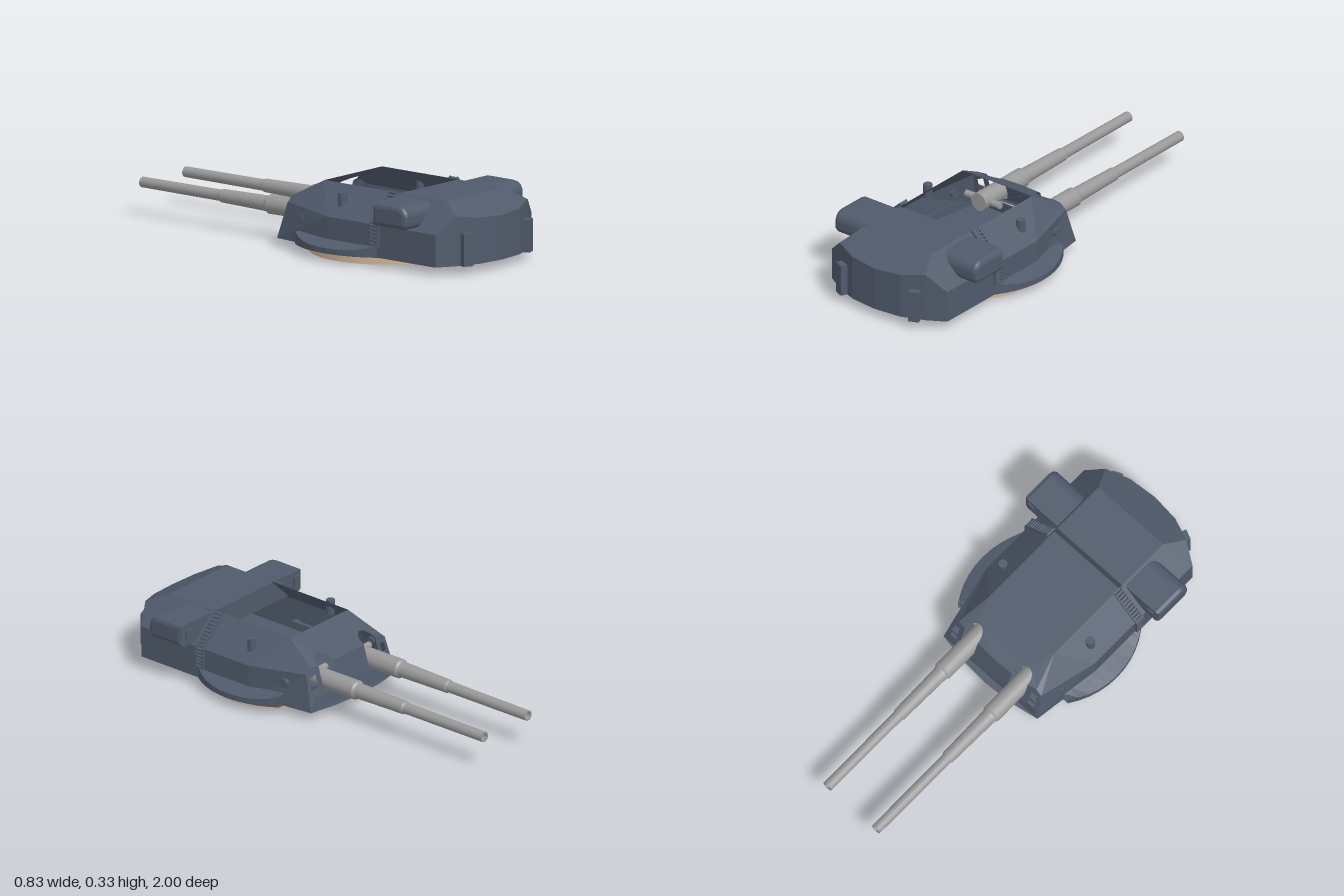
import * as THREE from 'three';

const mat = (name, color, side = THREE.FrontSide) => {
  const m = new THREE.MeshStandardMaterial({ color, side });
  m.name = name;
  return m;
};

export function createModel() {
  const root = new THREE.Group();
  root.name = 'gunTurret';
  const slate = mat('slate armour', 0x505a6b, THREE.DoubleSide);
  const steel = mat('gun steel', 0x999999, THREE.DoubleSide);
  const cream = mat('cream ring', 0xcdb397);
  const black = mat('black underside', 0x050505);

  const add = (name, geo, material, x = 0, y = 0, z = 0, parent = root) => {
    const m = new THREE.Mesh(geo, material);
    m.name = name;
    m.position.set(x, y, z);
    parent.add(m);
    return m;
  };
  // Flat-faced surface from polygons, optionally mirrored across x
  const faces = (name, polys, mirror = false) => {
    const pos = [];
    const fan = (p) => {
      for (let i = 1; i < p.length - 1; i++) pos.push(...p[0], ...p[i], ...p[i + 1]);
    };
    for (const p of polys) {
      fan(p);
      if (mirror) fan(p.map(([x, y, z]) => [-x, y, z]).reverse());
    }
    const g = new THREE.BufferGeometry();
    g.setAttribute('position', new THREE.Float32BufferAttribute(pos, 3));
    g.computeVertexNormals();
    return add(name, g, slate);
  };

  // Base ring
  add('baseRing', new THREE.CylinderGeometry(0.36, 0.36, 0.04, 40, 1, true), cream, 0, 0.02, 0.325);
  add('baseUnderside', new THREE.CircleGeometry(0.36, 40).rotateX(Math.PI / 2), black, 0, 0, 0.325);

  // Raked, slightly bowed front plate
  const frontZ = (x, y) => -0.12 + (y - 0.04) * 0.3 + 0.035 * (x / 0.29) ** 2;
  const F = (x, y) => [x, y, frontZ(x, y)];

  // Side armour
  const lowRear = [0.335, 0.04, 0.89], lowMid = [0.335, 0.04, 0.25];
  const kneeRear = [0.335, 0.19, 0.89], kneeMid = [0.335, 0.19, 0.25];
  const roofRear = [0.2, 0.32, 0.84], roofFront = [0.2, 0.32, 0.12];
  faces('sideArmour', [
    [lowRear, lowMid, kneeMid, kneeRear],
    [lowMid, F(0.29, 0.04), F(0.27, 0.21), kneeMid],
    [kneeRear, kneeMid, roofFront, roofRear],
    [kneeMid, F(0.27, 0.21), F(0.24, 0.235), roofFront],
    [kneeRear, roofRear, [0.25, 0.27, 0.94]],
  ], true);

  // Curved rear wall with its sloped upper plate
  const arc = [[0.335, 0.19, 0.89], [0.25, 0.27, 0.94], [0.14, 0.252, 0.985], [0, 0.245, 1]];
  const rear = [];
  for (let i = 0; i < 3; i++) {
    const a = arc[i], b = arc[i + 1];
    rear.push([[b[0], 0.04, b[2]], [a[0], 0.04, a[2]], a, b]);
  }
  rear.push([[0, 0.32, 0.84], arc[3], arc[2], arc[1], roofRear]);
  faces('rearArmour', rear, true);

  // Rear roof and floor; the middle of the roof is open
  faces('rearRoof', [[[-0.2, 0.32, 0.57], [-0.2, 0.32, 0.84], [0.2, 0.32, 0.84], [0.2, 0.32, 0.57]]]);
  faces('floor', [[
    [0, 0.04, 0.3], F(0, 0.04), F(0.15, 0.04), F(0.29, 0.04), lowMid, lowRear,
    [0.25, 0.04, 0.94], [0.14, 0.04, 0.985], [0, 0.04, 1],
  ]], true);

  // Front plates with gun slots: flat shapes bent into place by a depth rule
  const bend = (name, shape, depth) => {
    const g = new THREE.ShapeGeometry(shape, 8).rotateY(Math.PI);
    const p = g.attributes.position;
    for (let i = 0; i < p.count; i++) p.setZ(i, depth(p.getX(i), p.getY(i)));
    const flat = g.toNonIndexed();
    flat.computeVertexNormals();
    add(name, flat, slate);
  };
  const slot = 0.045, gunX = 0.15, edgeY = 0.235;
  const lower = new THREE.Shape();
  lower.moveTo(-0.29, 0.04);
  for (const x of [-0.15, 0, 0.15, 0.29]) lower.lineTo(x, 0.04);
  lower.lineTo(0.27, 0.21);
  lower.lineTo(0.24, edgeY);
  for (const c of [gunX, -gunX]) {
    lower.lineTo(c + slot, edgeY);
    lower.lineTo(c + slot, 0.15);
    lower.absarc(c, 0.15, slot, 0, Math.PI, true);
    lower.lineTo(c - slot, edgeY);
    if (c > 0) lower.lineTo(0, edgeY);
  }
  lower.lineTo(-0.24, edgeY);
  lower.lineTo(-0.27, 0.21);
  for (const s of [-1, 1]) {
    const h = new THREE.Path();
    h.moveTo(s * 0.222, 0.1);
    h.lineTo(s * 0.258, 0.1);
    h.lineTo(s * 0.252, 0.19);
    h.lineTo(s * 0.222, 0.2);
    lower.holes.push(h);
    add('windowBar', new THREE.BoxGeometry(0.04, 0.018, 0.012), slate, s * 0.24, 0.145, frontZ(0.24, 0.145) + 0.004);
  }
  bend('frontPlate', lower, frontZ);

  const upper = new THREE.Shape();
  upper.moveTo(-0.24, edgeY);
  for (const c of [-gunX, gunX]) {
    upper.lineTo(c - slot, edgeY);
    upper.absellipse(c, edgeY, slot, 0.03, Math.PI, 0, true);
    if (c < 0) upper.lineTo(0, edgeY);
  }
  upper.lineTo(0.24, edgeY);
  upper.lineTo(0.2, 0.32);
  upper.lineTo(-0.2, 0.32);
  bend('frontRoofSlope', upper, (x, y) =>
    THREE.MathUtils.lerp(frontZ(x, edgeY), 0.12, (y - edgeY) / (0.32 - edgeY)));

  // Stepped gun barrels with hollow muzzles
  const profile = [[0, -0.07], [0.043, -0.07], [0.045, 0.24], [0.038, 0.25], [0.036, 0.26], [0.031, 0.525],
    [0.026, 0.535], [0.0245, 1], [0.017, 1], [0.017, 0.9], [0, 0.9]];
  const barrel = [];
  for (let i = 0; i < profile.length - 1; i++) {
    const pts = [profile[i], profile[i + 1]].map(([r, l]) => new THREE.Vector2(r, l));
    barrel.push(new THREE.LatheGeometry(pts, 20).rotateX(-Math.PI / 2));
  }

  // Rangefinder section: rounded on the rear edges
  const beam = new THREE.Shape();
  beam.moveTo(-0.755, 0.225);
  beam.quadraticCurveTo(-0.76, 0.225, -0.76, 0.24);
  beam.lineTo(-0.76, 0.262);
  beam.quadraticCurveTo(-0.755, 0.29, -0.725, 0.29);
  beam.lineTo(-0.6, 0.29);
  beam.lineTo(-0.6, 0.225);
  const beamGeo = new THREE.ExtrudeGeometry(beam, {
    depth: 0.79, bevelSize: 0.02, bevelThickness: 0.02, bevelSegments: 2, curveSegments: 5,
  });
  add('rangefinder', beamGeo.translate(0, 0, -0.395).rotateY(Math.PI / 2), slate);

  for (const s of [-1, 1]) {
    const gun = new THREE.Group();
    gun.name = s > 0 ? 'leftGun' : 'rightGun';
    gun.position.set(s * gunX, 0.154, 0);
    root.add(gun);
    for (const g of barrel) add('barrelSection', g, steel, 0, 0, 0, gun);
    add('trunnion', new THREE.CylinderGeometry(0.016, 0.016, 0.2, 12).rotateZ(Math.PI / 2), steel, 0, 0, 0.035, gun);

    // Rangefinder window, periscope, side cap and rear post
    add('rangefinderWindow', new THREE.BoxGeometry(0.035, 0.055, 0.008), slate, s * 0.37, 0.258, 0.577);
    add('periscope', new THREE.CylinderGeometry(0.021, 0.021, 0.065, 12), slate, s * 0.27, 0.263, 0.285);
    add('sideCap', new THREE.CylinderGeometry(0.02, 0.02, 0.02, 12).rotateZ(Math.PI / 2), slate, s * 0.299, 0.15, 0.065);
    const post = add('rearPost', new THREE.BoxGeometry(0.05, 0.15, 0.05), slate, s * 0.208, 0.115, 0.965);
    post.rotation.y = s * 0.4;

    // Ladder up the side and over the slope
    const ladder = new THREE.Group();
    ladder.name = 'ladder';
    root.add(ladder);
    const path = [[0.342, 0.09], [0.342, 0.195], [0.207, 0.325]];
    for (let i = 0; i < 2; i++) {
      const [ax, ay] = path[i], dx = path[i + 1][0] - ax, dy = path[i + 1][1] - ay;
      const len = Math.hypot(dx, dy), n = Math.round(len / 0.018);
      const tilt = Math.atan2(-dx, dy) * s;
      for (const z of [0.513, 0.557]) {
        add('rail', new THREE.BoxGeometry(0.012, len, 0.005), slate, s * (ax + dx / 2), ay + dy / 2, z, ladder).rotation.z = tilt;
      }
      for (let k = 0; k < n; k++) {
        const t = (k + 0.5) / n;
        add('rung', new THREE.BoxGeometry(0.012, 0.008, 0.044), slate, s * (ax + dx * t), ay + dy * t, 0.535, ladder).rotation.z = tilt;
      }
    }
  }

  // Bulging side skirts that follow the base ring, rising toward their ends
  const skirt = [];
  const steps = 10, span = 0.62, R = 0.416;
  const section = (i) => {
    const a = -span + (2 * span * i) / steps;
    const x = R * Math.cos(a), z = 0.305 + R * Math.sin(a);
    const top = 0.065 + 0.03 * ((R - x) / 0.078) ** 1.5;
    return [[0.3, 0.04, z], [x, 0.04, z], [x, top, z], [0.3, 0.098, z]];
  };
  for (let i = 0; i < steps; i++) {
    const a = section(i), b = section(i + 1);
    for (let k = 0; k < 3; k++) skirt.push([a[k], a[k + 1], b[k + 1], b[k]]);
  }
  faces('sideSkirts', skirt, true);

  return root;
}
